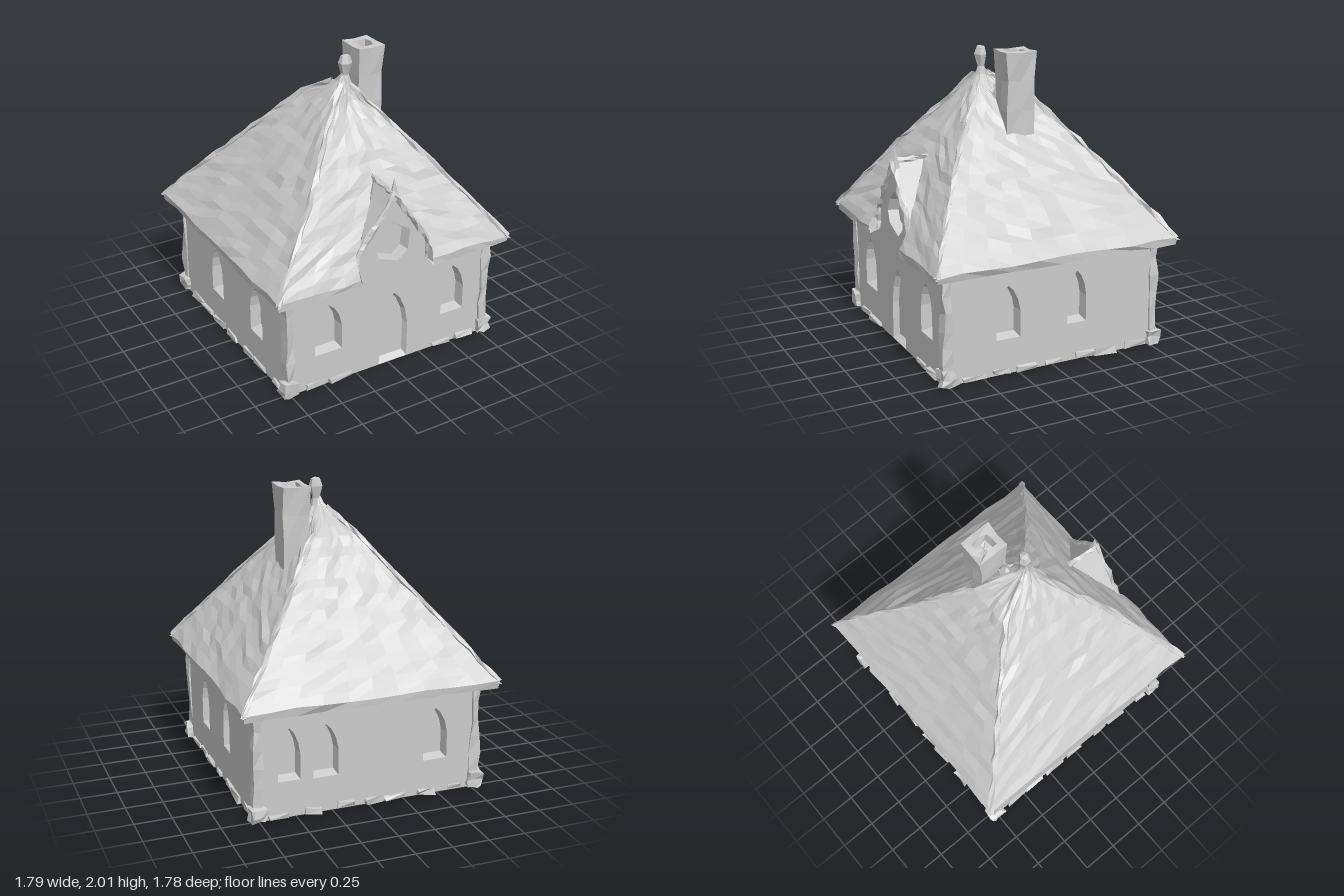
import * as THREE from 'three';

const stone = new THREE.MeshStandardMaterial({ color: 0xcccccc, flatShading: true, side: THREE.DoubleSide });

// Repeatable value in -0.5..0.5 from a position, so shared corners move together
function hash(x, y, z, k) {
  const r = (v) => Math.round(v * 1000);
  const s = Math.sin(r(x) * 12.9898 + r(y) * 78.233 + r(z) * 37.719 + k * 4.1) * 43758.5453;
  return s - Math.floor(s) - 0.5;
}

// Hand-hewn unevenness
function roughen(geo, amount) {
  const p = geo.attributes.position;
  for (let i = 0; i < p.count; i++) {
    const [x, y, z] = [p.getX(i), p.getY(i), p.getZ(i)];
    p.setXYZ(i, x + hash(x, y, z, 1) * amount, y + hash(x, y, z, 2) * amount, z + hash(x, y, z, 3) * amount);
  }
  geo.computeVertexNormals();
  return geo;
}

function add(parent, name, geo) {
  const m = new THREE.Mesh(geo, stone);
  m.name = name;
  parent.add(m);
  return m;
}

// Surface through rows of points
function loft(rows) {
  const n = rows[0].length, index = [];
  for (let j = 0; j < rows.length - 1; j++)
    for (let i = 0; i < n - 1; i++) {
      const a = j * n + i, b = a + n;
      index.push(a, a + 1, b, a + 1, b + 1, b);
    }
  const geo = new THREE.BufferGeometry();
  geo.setAttribute('position', new THREE.Float32BufferAttribute(rows.flat(2), 3));
  geo.setIndex(index);
  geo.computeVertexNormals();
  return geo;
}

// Linear lookup in a table of [key, values...]
function lookup(table, key) {
  let i = 0;
  while (i < table.length - 2 && key > table[i + 1][0]) i++;
  const [a, b] = [table[i], table[i + 1]];
  const t = THREE.MathUtils.clamp((key - a[0]) / (b[0] - a[0]), 0, 1);
  return a.map((v, k) => v + (b[k] - v) * t);
}

// Roof slopes above the eave: height, half width, front z, back z
const SLOPE = [[0.77, 0.875, 0.865, -0.875], [1.3, 0.45, 0.54, -0.45], [1.68, 0.14, 0.25, -0.13],
  [1.8, 0.03, 0.18, 0.08], [1.87, 0.002, 0.152, 0.148]];
// Dormer outline: height, half width
const DORMER = [[0.74, 0.27], [0.82, 0.28], [0.9, 0.26], [1.08, 0.135], [1.18, 0.065], [1.28, 0]];
const dormerHalf = (y) => lookup(DORMER, y)[1];

// Pointed arch outline, counter-clockwise
function arch(cx, base, width, height) {
  const w = width / 2;
  return [[-1, 0], [1, 0], [1, 0.5], [0.8, 0.72], [0.42, 0.9], [0, 1], [-0.42, 0.9], [-0.8, 0.72], [-1, 0.5]]
    .map(([x, y]) => new THREE.Vector2(cx + x * w, base + y * height));
}

// Wall with recessed openings, facing local +z
function wall(parent, name, outline, dist, turn, openings) {
  const g = new THREE.Group();
  g.name = name;
  g.rotation.y = turn;
  const shape = new THREE.Shape(outline);
  openings.forEach(({ points, depth, label }) => {
    shape.holes.push(new THREE.Path(points));
    const c = points.reduce((s, p) => s.add(p), new THREE.Vector2()).divideScalar(points.length);
    const inner = points.map((p) => p.clone().lerp(c, 0.14).setY(Math.max(p.y + (c.y - p.y) * 0.1, 0)));
    const ring = (pts, z) => [...pts, pts[0]].map((p) => [p.x, p.y, z]);
    add(g, label + 'Reveal', loft([ring(points, dist), ring(inner, dist - depth)]));
    add(g, label + 'Pane', new THREE.ShapeGeometry(new THREE.Shape(inner)).translate(0, 0, dist - depth));
  });
  add(g, name + 'Face', new THREE.ShapeGeometry(shape).translate(0, 0, dist));
  parent.add(g);
}

export function createModel() {
  const house = new THREE.Group();
  house.name = 'cottage';

  // Walls
  const V = (x, y) => new THREE.Vector2(x, y);
  const win = (x, base = 0.24, w = 0.17, h = 0.36) => ({ points: arch(x, base, w, h), depth: 0.07, label: 'window' });
  const box = (w) => [V(-w, 0), V(w, 0), V(w, 0.76), V(-w, 0.76)];
  const gable = DORMER.map(([y, x]) => V(x, y));
  const gableLeft = DORMER.slice(0, -1).reverse().map(([y, x]) => V(-x, y));
  const frontOutline = [V(-0.78, 0), V(0.78, 0), V(0.78, 0.74), ...gable, ...gableLeft, V(-0.78, 0.74)];
  const rose = [[0, 1.07], [-0.085, 1.0], [-0.125, 0.91], [-0.095, 0.83], [0.05, 0.775], [0.125, 0.84], [0.14, 0.98]]
    .map(([x, y]) => V(x, y));
  wall(house, 'frontWall', frontOutline, 0.775, 0, [
    win(-0.47, 0.24, 0.2), win(0.5, 0.24, 0.18),
    { points: arch(0.03, 0.004, 0.22, 0.53), depth: 0.04, label: 'door' },
    { points: rose, depth: 0.07, label: 'gableWindow' }]);
  wall(house, 'leftWall', box(0.775), 0.78, Math.PI / 2, [win(-0.33), win(0.17, 0.26, 0.14)]);
  wall(house, 'backWall', box(0.78), 0.775, Math.PI, [win(-0.55, 0.25, 0.15), win(-0.3), win(0.47)]);
  wall(house, 'rightWall', box(0.775), 0.78, -Math.PI / 2, [win(-0.22), win(0.36)]);

  // Rough corner posts and footing stones
  for (const sx of [-1, 1]) for (const sz of [-1, 1]) {
    const post = new THREE.BoxGeometry(0.06, 0.73, 0.06, 1, 6, 1).translate(sx * 0.76, 0.365, sz * 0.755);
    add(house, 'cornerPost', roughen(post, 0.025));
    const foot = new THREE.BoxGeometry(0.1, 0.1, 0.1, 2, 2, 2).translate(sx * 0.765, 0.055, sz * 0.76);
    add(house, 'cornerStone', roughen(foot, 0.03));
  }
  for (let side = 0; side < 4; side++)
    for (let i = 0; i < 7; i++) {
      const x = -0.6 + i * 0.2 + hash(side, i, 0, 5) * 0.1;
      if (side === 0 && Math.abs(x - 0.03) < 0.2) continue;
      const rock = new THREE.BoxGeometry(0.13 + hash(side, i, 1, 6) * 0.08, 0.035, 0.04).translate(x, 0.022, 0.775);
      add(house, 'footingStone', roughen(rock, 0.025).rotateY(side * Math.PI / 2));
    }

  // Roof rows: soffit, eave edge, then up the slopes
  const rows = [[0.74, 0.77, 0.77, -0.77], [0.72, 0.865, 0.86, -0.865]];
  for (let i = 0; i <= 20; i++) rows.push(lookup(SLOPE, 0.77 + i * 1.1 / 20));
  const span = (a, b, n) => Array.from({ length: n + 1 }, (_, i) => a.map((v, k) => v + (b[k] - v) * i / n));
  const panel = (name, from, to, n) =>
    add(house, name, roughen(loft(rows.map((r) => span(from(r), to(r), n))), 0.018));
  for (const s of [-1, 1]) {
    panel('frontRoof', ([y, , zf]) => [s * dormerHalf(y), y, zf], ([y, hx, zf]) => [s * hx, y, zf], 5);
    panel('sideRoof', ([y, hx, zf]) => [s * hx, y, zf], ([y, hx, , zb]) => [s * hx, y, zb], 10);
  }
  panel('backRoof', ([y, hx, , zb]) => [-hx, y, zb], ([y, hx, , zb]) => [hx, y, zb], 10);

  // Bumpy ridge rolls along the hips
  const roll = (name, pts, radius, n) => add(house, name, roughen(new THREE.TubeGeometry(
    new THREE.CatmullRomCurve3(pts.map((p) => new THREE.Vector3(...p)), false, 'catmullrom', 0.1), n, radius, 5), 0.02));
  for (const s of [-1, 1]) for (const k of [2, 3]) {
    const pts = SLOPE.slice(0, 4).map((r) => [s * r[1], r[0], r[k]]);
    roll('hipRidge', pts, 0.018, 18);
    // Flared eave tip
    const tip = new THREE.ConeGeometry(0.03, 0.09, 4).rotateX(Math.PI / 2)
      .rotateY(Math.atan2(s, k === 2 ? 1 : -1)).translate(s * 0.86, 0.755, k === 2 ? 0.85 : -0.86);
    add(house, 'eaveTip', tip);
  }

  // Dormer roof running back into the front slope
  const profile = [...gable.map((p) => [p.x, p.y]), ...gableLeft.map((p) => [p.x, p.y])];
  const front = profile.map(([x, y]) => [x, y, 0.785]);
  const back = profile.map(([x, y]) => [x, y, lookup(SLOPE, y)[2]]);
  add(house, 'dormerRoof', loft([front, back]));
  roll('dormerVerge', front, 0.018, 24);
  roll('dormerRidge', [[0, 1.28, 0.78], [0, 1.285, 0.66], [0, 1.285, 0.53]], 0.018, 5);
  add(house, 'dormerFinial', new THREE.ConeGeometry(0.032, 0.15, 5).translate(0.01, 1.31, 0.77));

  // Finial at the top of the roof
  const knob = [[0.075, 1.74], [0.04, 1.81], [0.026, 1.86], [0.045, 1.94], [0.03, 1.99], [0, 2]].map(([x, y]) => V(x, y));
  add(house, 'roofFinial', roughen(new THREE.LatheGeometry(knob, 6).translate(0.02, 0, 0.15), 0.008));

  // Chimney with a hollow, broken top
  const ring = (r, y) => [[-1, -1], [0, -1], [1, -1], [1, 0], [1, 1], [0, 1], [-1, 1], [-1, 0], [-1, -1]]
    .map(([x, z]) => [0.24 + x * r, y, 0.01 + z * r * 1.1]);
  const stack = [ring(0.088, 1.38), ring(0.088, 1.6), ring(0.09, 1.8), ring(0.098, 1.99),
    ring(0.05, 1.985), ring(0.045, 1.9), ring(0.001, 1.9)];
  add(house, 'chimney', roughen(loft(stack), 0.016));
  // Mortar heap between chimney and roof top
  add(house, 'chimneyFlashing', roughen(new THREE.IcosahedronGeometry(0.06, 1).translate(0.11, 1.68, 0.08), 0.03));

  return house;
}
